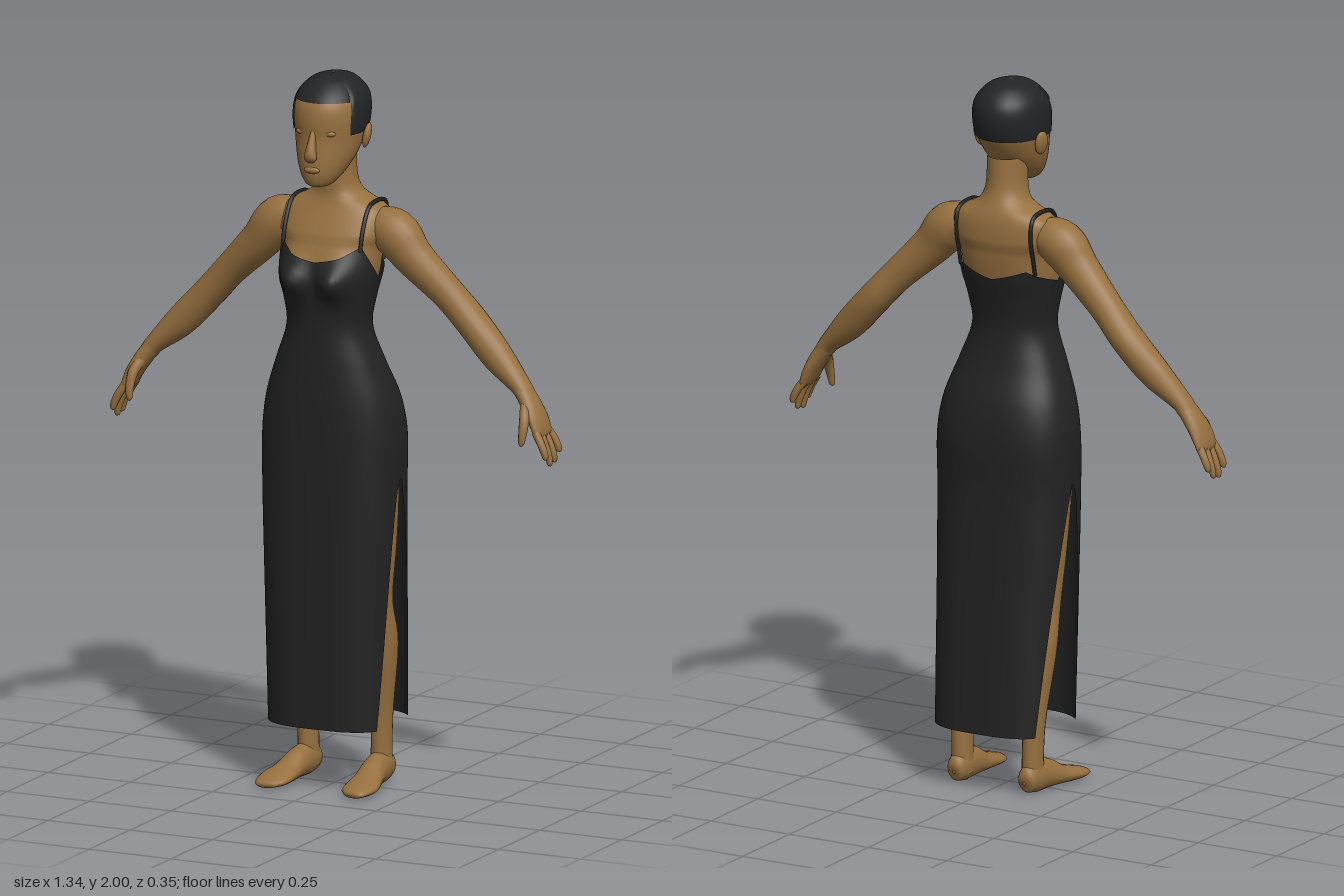
import * as THREE from 'three';
import { mergeVertices } from 'three/addons/utils/BufferGeometryUtils.js';

const V = (x, y, z) => new THREE.Vector3(x, y, z);
const lerp = THREE.MathUtils.lerp;
const skin = new THREE.MeshStandardMaterial({ name: 'skin', color: 0x96703f });
const cloth = new THREE.MeshStandardMaterial({ name: 'black cloth', color: 0x222222, side: THREE.DoubleSide });
const hairMat = new THREE.MeshStandardMaterial({ name: 'hair', color: 0x222426, side: THREE.DoubleSide });

// Smooth grid surface; fn(u, v) gives a point, the outside lies along dU x dV
function grid(nu, nv, ...fns) {
  const pos = [], idx = [];
  for (const fn of fns) {
    const base = pos.length / 3;
    for (let j = 0; j <= nv; j++) for (let i = 0; i <= nu; i++) pos.push(...fn(i / nu, j / nv).toArray());
    for (let j = 0; j < nv; j++) for (let i = 0; i < nu; i++) {
      const a = base + j * (nu + 1) + i, b = a + 1, c = a + nu + 1, d = c + 1;
      idx.push(a, b, c, b, d, c);
    }
  }
  let g = new THREE.BufferGeometry();
  g.setAttribute('position', new THREE.Float32BufferAttribute(pos, 3));
  g.setIndex(idx);
  g = mergeVertices(g, 1e-5);
  g.computeVertexNormals();
  return g;
}

// Smooth lookup in rows of [y, half width, front z, back z, roundness]
function sample(rows, y) {
  let i = 0;
  while (i < rows.length - 2 && y > rows[i + 1][0]) i++;
  const p = rows[i], q = rows[i + 1], o = rows[i - 1] || p, r = rows[i + 2] || q;
  const h = q[0] - p[0], t = THREE.MathUtils.clamp((y - p[0]) / h, 0, 1);
  return [1, 2, 3, 4].map(k => {
    const m0 = (q[k] - o[k]) / (q[0] - o[0]) * h, m1 = (r[k] - p[k]) / (r[0] - p[0]) * h;
    const t2 = t * t, t3 = t2 * t;
    return (2 * t3 - 3 * t2 + 1) * p[k] + (t3 - 2 * t2 + t) * m0 + (3 * t2 - 2 * t3) * q[k] + (t3 - t2) * m1;
  });
}
const spow = (v, e) => Math.sign(v) * Math.abs(v) ** e;
// Point on a rounded section; angle 0 is the front, PI/2 the model's left
function section(rows, y, a, off = 0) {
  const [w, zf, zb, n] = sample(rows, y);
  return V((w + off) * spow(Math.sin(a), 2 / n), y,
    (zf + zb) / 2 + ((zf - zb) / 2 + off) * spow(Math.cos(a), 2 / n));
}

const bodyRows = [
  [0.18, 0.18, 0.13, -0.17, 3], [0.6, 0.19, 0.135, -0.145, 2.8], [0.85, 0.197, 0.138, -0.135, 2.6],
  [1.0, 0.198, 0.139, -0.138, 2.5], [1.1, 0.184, 0.138, -0.122, 2.4], [1.2, 0.15, 0.134, -0.085, 2.3],
  [1.3, 0.116, 0.13, -0.065, 2.2], [1.38, 0.126, 0.133, -0.075, 2.2], [1.45, 0.14, 0.132, -0.092, 2.3],
  [1.52, 0.146, 0.114, -0.103, 2.3], [1.58, 0.158, 0.086, -0.105, 2.3], [1.63, 0.142, 0.06, -0.1, 2.2],
  [1.66, 0.08, 0.05, -0.088, 2.1], [1.7, 0.058, 0.052, -0.074, 2], [1.79, 0.055, 0.055, -0.068, 2]];
function body(y, a, off) {
  const p = section(bodyRows, y, a, off);
  const c = Math.max(0, Math.cos(a));
  p.z += 0.05 * Math.sqrt(c) * Math.exp(-(((y - 1.44) / 0.05) ** 2) - ((Math.abs(p.x) - 0.07) / 0.05) ** 2);
  return p;
}
const headRows = [
  [1.698, 0.002, 0.1, 0.098, 2], [1.703, 0.028, 0.13, 0.06, 2], [1.718, 0.046, 0.142, 0.03, 2],
  [1.75, 0.066, 0.146, -0.015, 2], [1.79, 0.082, 0.143, -0.055, 2], [1.84, 0.092, 0.138, -0.088, 2.1],
  [1.88, 0.097, 0.14, -0.101, 2.1], [1.92, 0.096, 0.135, -0.104, 2.1], [1.95, 0.088, 0.118, -0.095, 2],
  [1.98, 0.06, 0.082, -0.065, 2], [1.992, 0.035, 0.052, -0.036, 2], [1.997, 0.001, 0.012, 0.01, 2]];

// Tapered limb: stations [x, y, z, radius along ref, radius across ref]
function limb(st, ref, nu = 20, nv = 40) {
  const path = new THREE.CatmullRomCurve3(st.map(s => V(s[0], s[1], s[2])), false, 'catmullrom', 0.5);
  const rad = new THREE.CatmullRomCurve3(st.map(s => V(s[3], s[4], 0)), false, 'catmullrom', 0.5);
  return grid(nu, nv, (u, v) => {
    const T = path.getTangent(v), r = rad.getPoint(v), th = u * Math.PI * 2;
    const A = ref.clone().addScaledVector(T, -ref.dot(T)).normalize(), B = T.clone().cross(A);
    return path.getPoint(v).addScaledVector(A, Math.cos(th) * Math.max(r.x, 0.0005))
      .addScaledVector(B, Math.sin(th) * Math.max(r.y, 0.0005));
  });
}

function add(parent, name, geo, mat) {
  const m = new THREE.Mesh(geo, mat);
  m.name = name;
  parent.add(m);
  return m;
}
function ellipsoid(parent, name, p, s, mat = skin) {
  const m = add(parent, name, new THREE.SphereGeometry(1, 20, 14), mat);
  m.position.set(...p);
  m.scale.set(...s);
  return m;
}

// Dress neckline height around the body: [angle, y]
const neckline = [[0, 1.49], [0.45, 1.505], [0.85, 1.535], [1.57, 1.445], [2.2, 1.47], [2.45, 1.485], [3.1416, 1.455]];
function topY(a) {
  a = Math.abs(a) > Math.PI ? 2 * Math.PI - Math.abs(a) : Math.abs(a);
  for (let i = 1; i < neckline.length; i++) {
    const [a0, y0] = neckline[i - 1], [a1, y1] = neckline[i];
    if (a <= a1 + 1e-3) return lerp(y0, y1, (a - a0) / (a1 - a0));
  }
  return 1.455;
}
// Angle where a skirt panel ends at height y, opening into the side slit
function slitAngle(y, target, power) {
  const t = THREE.MathUtils.clamp((0.88 - y) / 0.7, 0, 1);
  const [, zf, zb, n] = sample(bodyRows, y), zc = (zf + zb) / 2;
  return Math.acos(spow((target - zc) * t ** power / ((zf - zb) / 2), n / 2));
}
function panel(front) {
  return (u, v) => {
    const low = v <= 0.4 + 1e-6, mid = front ? 0 : Math.PI;
    const yl = lerp(0.18, 0.88, v / 0.4);
    const e = !low ? Math.PI / 2 : front ? slitAngle(yl, 0.075, 0.5) : Math.PI - slitAngle(yl, -0.125, 0.8);
    const a = mid + (u * 2 - 1) * e;
    return body(low ? yl : lerp(0.88, topY(a), (v - 0.4) / 0.6), a, 0.003);
  };
}

function strapPath(x) {
  const pts = [], up = [];
  for (let y = 1.47; y < 1.66; y += 0.012) {
    const [w, zf, zb, n] = sample(bodyRows, y);
    if (w <= x) break;
    const s = (1 - (x / w) ** n) ** (1 / n), zc = (zf + zb) / 2, d = (zf - zb) / 2;
    if (y > 1.515) pts.push(V(x, y + 0.003, zc + d * s + 0.005));
    up.push(V(x, y + 0.003, zc - d * s - 0.004));
  }
  return new THREE.CatmullRomCurve3([...pts, ...up.reverse()]);
}

function addSide(parent, side) {
  const g = new THREE.Group();
  g.name = side > 0 ? 'leftSide' : 'rightSide';
  parent.add(g);
  const Z = V(0, 0, 1), X = V(1, 0, 0);
  const mx = st => st.map(([x, ...r]) => [x * side, ...r]);
  add(g, 'arm', limb(mx([[0.08, 1.585, -0.02, 0.04, 0.035], [0.17, 1.565, -0.015, 0.062, 0.066],
    [0.235, 1.497, -0.015, 0.054, 0.056], [0.33, 1.405, -0.03, 0.047, 0.046], [0.4, 1.33, -0.038, 0.05, 0.045],
    [0.48, 1.245, -0.03, 0.043, 0.044], [0.555, 1.175, -0.018, 0.034, 0.028], [0.575, 1.15, -0.015, 0.034, 0.025]]), Z), skin);
  add(g, 'palm', limb(mx([[0.55, 1.18, -0.018, 0.03, 0.022], [0.583, 1.14, -0.013, 0.037, 0.024],
    [0.612, 1.095, -0.008, 0.046, 0.021], [0.63, 1.055, -0.006, 0.047, 0.015], [0.636, 1.035, -0.006, 0.034, 0.004]]), Z), skin);
  // Fingers fan out along z, the thumb points forward
  [[0.034, 0.985], [0.009, 0.963], [-0.018, 0.968], [-0.044, 0.992]].forEach(([z, tip]) => {
    const f = t => lerp(1.06, tip, t);
    add(g, 'finger', limb(mx([[0.626, f(0), z * 0.85, 0.011, 0.012], [0.645, f(0.4), z, 0.0115, 0.011],
      [0.657, f(0.75), z * 1.05, 0.01, 0.01], [0.66, f(0.95), z * 1.05, 0.007, 0.007], [0.66, f(1), z * 1.05, 0, 0]]), Z, 10, 14), skin);
  });
  add(g, 'thumb', limb(mx([[0.583, 1.135, 0.005, 0.014, 0.014], [0.597, 1.1, 0.038, 0.016, 0.014],
    [0.6, 1.06, 0.055, 0.012, 0.012], [0.598, 1.03, 0.06, 0.008, 0.008], [0.597, 1.022, 0.06, 0, 0]]), Z, 10, 16), skin);
  add(g, 'leg', limb(mx([[0.095, 1.0, 0, 0.09, 0.08], [0.1, 0.85, 0, 0.09, 0.085], [0.108, 0.7, -0.005, 0.068, 0.072],
    [0.115, 0.53, -0.012, 0.05, 0.05], [0.12, 0.4, -0.04, 0.052, 0.047], [0.115, 0.22, -0.056, 0.037, 0.031],
    [0.112, 0.12, -0.06, 0.036, 0.028], [0.112, 0.03, -0.06, 0.036, 0.03]]), Z), skin);
  add(g, 'foot', limb(mx([[0.112, 0.04, -0.106, 0.005, 0.005], [0.112, 0.042, -0.098, 0.024, 0.032],
    [0.113, 0.05, -0.06, 0.032, 0.046], [0.117, 0.046, -0.005, 0.035, 0.042], [0.124, 0.032, 0.05, 0.042, 0.028],
    [0.13, 0.024, 0.1, 0.049, 0.02], [0.13, 0.019, 0.14, 0.042, 0.014], [0.126, 0.016, 0.16, 0.025, 0.009],
    [0.125, 0.015, 0.165, 0, 0]]), X), skin);
  const ear = ellipsoid(g, 'ear', [0.1 * side, 1.832, 0.005], [0.011, 0.035, 0.022]);
  ear.rotation.set(-0.15, side * 0.3, -side * 0.15);
  ellipsoid(g, 'eyelid', [0.04 * side, 1.853, 0.116], [0.02, 0.01, 0.014]);
  add(g, 'strap', new THREE.TubeGeometry(strapPath(0.118), 40, 0.006, 6), cloth).scale.x = side;
}

export function createModel() {
  const model = new THREE.Group();
  model.name = 'womanInLongDress';
  const turn = u => (u * 2 - 1) * Math.PI;

  add(model, 'torsoAndNeck', grid(48, 60, (u, v) => {
    const y = lerp(0.95, 1.79, v);
    return body(y, turn(u), y < 1.54 ? -0.006 : 0);
  }), skin);
  add(model, 'dress', grid(40, 60, panel(true), panel(false)), cloth);

  // Head with face details
  add(model, 'head', grid(40, 50, (u, v) => section(headRows, lerp(1.698, 1.997, (1 - Math.cos(v * Math.PI)) / 2), turn(u))), skin);
  add(model, 'nose', limb([[0, 1.868, 0.128, 0.006, 0.006], [0, 1.835, 0.14, 0.01, 0.012],
    [0, 1.8, 0.15, 0.016, 0.016], [0, 1.785, 0.15, 0.018, 0.012], [0, 1.776, 0.14, 0.004, 0.004]], V(1, 0, 0), 14, 18), skin);
  ellipsoid(model, 'lips', [0, 1.752, 0.142], [0.024, 0.01, 0.01]);

  // Short hair cap, stepped at the temples
  add(model, 'hair', grid(80, 24, (u, v) => {
    const a = turn(u), bottom = Math.abs(a) < 1.08 ? 1.937 : 1.845;
    return section(headRows, lerp(bottom, 1.997, Math.sin(v * Math.PI / 2)), a, 0.004).add(V(0, v * 0.003, 0));
  }), hairMat);

  for (const side of [1, -1]) addSide(model, side);
  return model;
}
